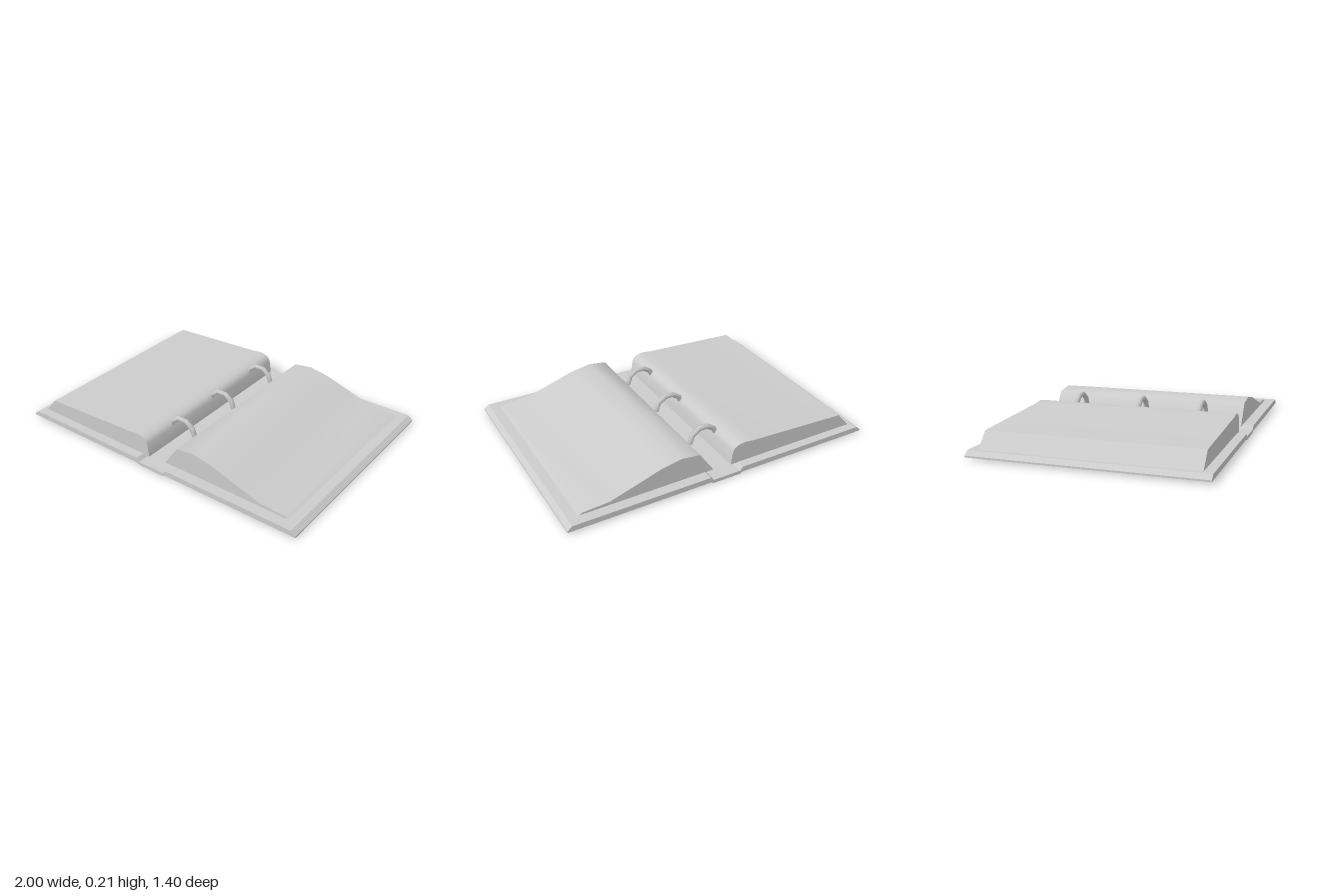
import * as THREE from 'three';
import { toCreasedNormals } from 'three/addons/utils/BufferGeometryUtils.js';

const material = new THREE.MeshStandardMaterial({ color: 0xcccccc, side: THREE.DoubleSide });

// Extrudes an x/y outline along z between two depths.
function slab(name, outline, zBack, zFront, crease) {
  const shape = new THREE.Shape(outline.map(([x, y]) => new THREE.Vector2(x, y)));
  const geometry = new THREE.ExtrudeGeometry(shape, { depth: zFront - zBack, bevelEnabled: false });
  geometry.translate(0, 0, zBack);
  const mesh = new THREE.Mesh(toCreasedNormals(geometry, crease), material);
  mesh.name = name;
  return mesh;
}

export function createModel() {
  const binder = new THREE.Group();
  binder.name = 'openRingBinder';

  // Cover: two boards joined by a lower spine, mirrored across x
  const half = [[0.09, 0], [0.11, 0.01], [1, 0.01], [1, 0.02], [0.97, 0.044], [0.11, 0.044], [0.09, 0.022]];
  const cover = [...half, ...half.map(([x, y]) => [-x, y]).reverse()];
  binder.add(slab('cover', cover, -0.7, 0.7, 0.4));

  // Left-hand stack of pages, slanted at the outer edge
  binder.add(slab('thickPageStack', [
    [-0.945, 0.042], [-0.06, 0.042], [-0.072, 0.125], [-0.085, 0.15], [-0.11, 0.164],
    [-0.15, 0.172], [-0.22, 0.164], [-0.86, 0.137],
  ], -0.645, 0.643, 0.6));

  // Right-hand stack of pages, curving down to the outer edge
  binder.add(slab('curvedPageStack', [
    [0.055, 0.042], [0.915, 0.042], [0.88, 0.056], [0.72, 0.065], [0.56, 0.116], [0.4, 0.168],
    [0.265, 0.192], [0.147, 0.176], [0.107, 0.118],
  ], -0.636, 0.632, 0.85));

  // Binding rings: faceted half hoops
  const ringGeometry = new THREE.TorusGeometry(0.093, 0.017, 6, 5, Math.PI);
  [-0.42, 0, 0.395].forEach((z) => {
    const ring = new THREE.Mesh(ringGeometry, material);
    ring.name = 'bindingRing';
    ring.position.set(-0.005, 0.105, z);
    binder.add(ring);
  });

  return binder;
}
